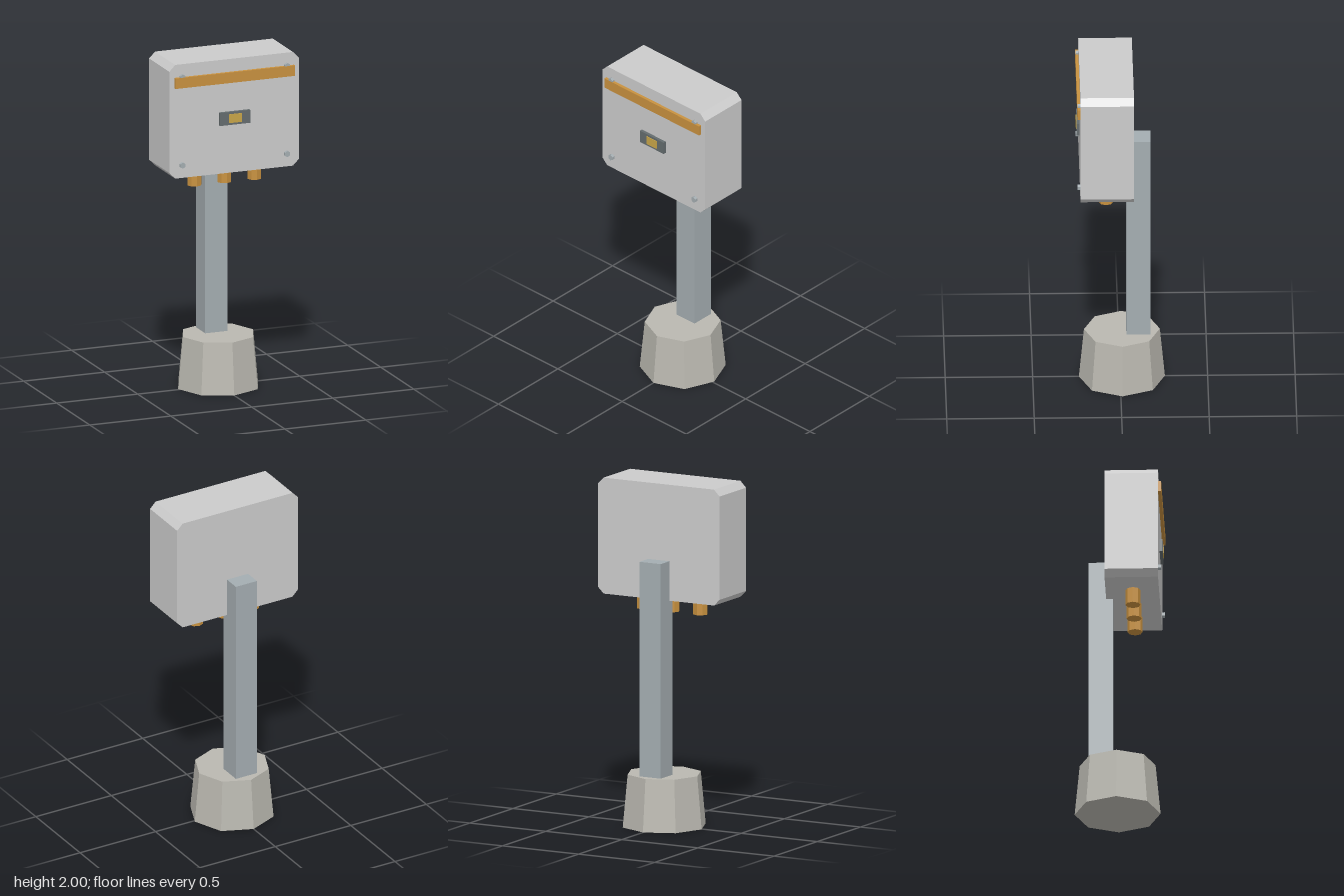
import * as THREE from 'three';

const paint = (color) => new THREE.MeshStandardMaterial({ color, flatShading: true });

export function createModel() {
  const model = new THREE.Group();
  const shell = paint(0xcccccc);
  const steel = paint(0xa4adb1);
  const concrete = paint(0xbab8b0);
  const brass = paint(0xc8913f);
  const dark = paint(0x646c6e);
  const yellow = paint(0xc8a548);

  const add = (name, geometry, material, x, y, z) => {
    const mesh = new THREE.Mesh(geometry, material);
    mesh.name = name;
    mesh.position.set(x, y, z);
    model.add(mesh);
    return mesh;
  };
  const box = (w, h, d) => new THREE.BoxGeometry(w, h, d);

  // Tapered eight-sided footing and square post
  add('footing', new THREE.CylinderGeometry(0.217, 0.246, 0.306, 8), concrete, 0, 0.153, -0.01);
  add('post', box(0.139, 1.255, 0.139), steel, 0, 0.9275, -0.104);

  // Cabinet with chamfered corners
  const w = 0.4, h = 0.3375, c = 0.037;
  const outline = new THREE.Shape([
    [-w + c, -h], [w - c, -h], [w, -h + c], [w, h - c],
    [w - c, h], [-w + c, h], [-w, h - c], [-w, -h + c],
  ].map(([x, y]) => new THREE.Vector2(x, y)));
  const cabinet = new THREE.ExtrudeGeometry(outline, { depth: 0.306, bevelEnabled: false });
  add('cabinet', cabinet, shell, 0, 1.6625, -0.073);

  // Door trim and latch
  add('trimBar', box(0.738, 0.062, 0.03), brass, 0, 1.893, 0.236);
  add('latchPlate', box(0.186, 0.077, 0.03), dark, 0, 1.651, 0.235);
  add('latchWindow', box(0.078, 0.052, 0.02), yellow, 0, 1.651, 0.244);

  // Door bolts
  for (const x of [-0.323, 0.323]) {
    for (const y of [1.402, 1.924]) {
      const bolt = add('bolt', new THREE.CylinderGeometry(0.018, 0.018, 0.03, 6), steel, x, y, 0.235);
      bolt.rotation.x = Math.PI / 2;
    }
  }

  // Cable glands under the cabinet
  for (const x of [-0.185, 0, 0.185]) {
    add('cableGland', new THREE.CylinderGeometry(0.043, 0.043, 0.11, 8), brass, x, 1.287, 0.084);
  }

  return model;
}
